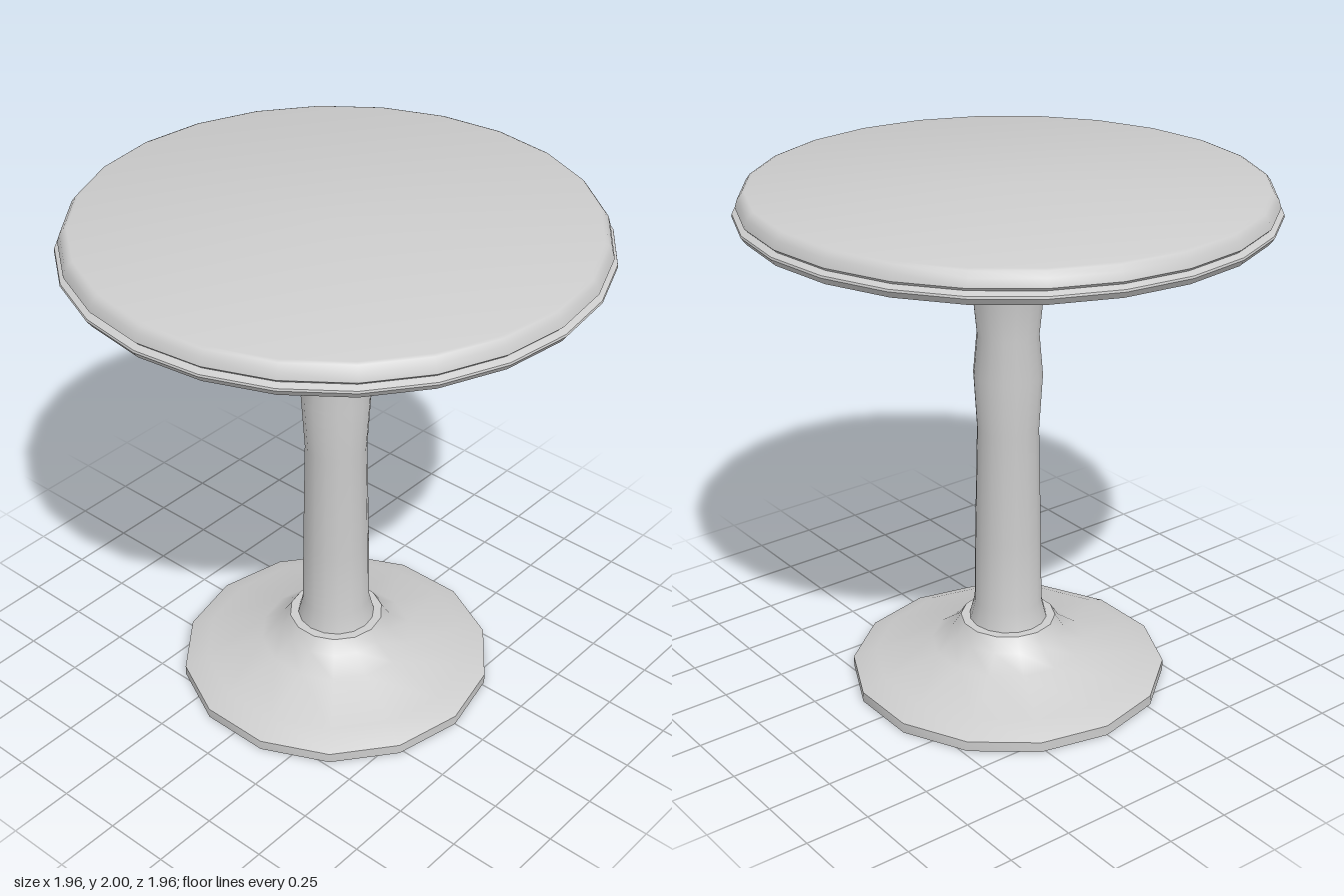
import * as THREE from 'three';
import { toCreasedNormals } from 'three/addons/utils/BufferGeometryUtils.js';
import { RoundedBoxGeometry } from 'three/addons/geometries/RoundedBoxGeometry.js';

export function createModel() {
  const table = new THREE.Group();
  table.name = 'pedestalTable';
  const grey = new THREE.MeshStandardMaterial({ color: 0xcccccc });
  grey.name = 'plain grey';

  // Turned part from [radius, height] pairs, with its first corner on the x axis
  function turned(name, profile, sides) {
    const points = profile.map(([r, y]) => new THREE.Vector2(r, y));
    const lathe = new THREE.LatheGeometry(points, sides, Math.PI / 2);
    const mesh = new THREE.Mesh(toCreasedNormals(lathe, 0.6), grey);
    mesh.name = name;
    table.add(mesh);
  }

  // Flared foot
  turned('base', [
    [0, 0], [0.615, 0], [0.615, 0.04], [0.525, 0.08], [0.3, 0.135],
    [0.22, 0.19], [0.185, 0.243], [0, 0.243],
  ], 14);

  // Waisted column, widening under the top
  turned('column', [
    [0.152, 0.24], [0.132, 0.32], [0.128, 0.6], [0.118, 1.05], [0.131, 1.27],
    [0.117, 1.43], [0.153, 1.8], [0.168, 1.84], [0.196, 1.892],
  ], 16);

  // Round top with a moulded rim
  turned('tableTop', [
    [0, 1.89], [0.962, 1.89], [0.98, 1.915], [0.978, 1.923], [0.955, 1.934],
    [0.966, 1.945], [0.957, 1.975], [0.942, 1.995], [0.93, 2], [0, 2],
  ], 24);

  // Tilted support bars under the top
  for (const side of [-1, 1]) {
    const bar = new THREE.Mesh(new RoundedBoxGeometry(0.108, 0.096, 0.89, 2, 0.012), grey);
    bar.name = side > 0 ? 'leftSupportBar' : 'rightSupportBar';
    bar.position.set(side * 0.285, 1.845, 0);
    bar.rotation.z = side * 0.54;
    table.add(bar);
  }
  return table;
}
